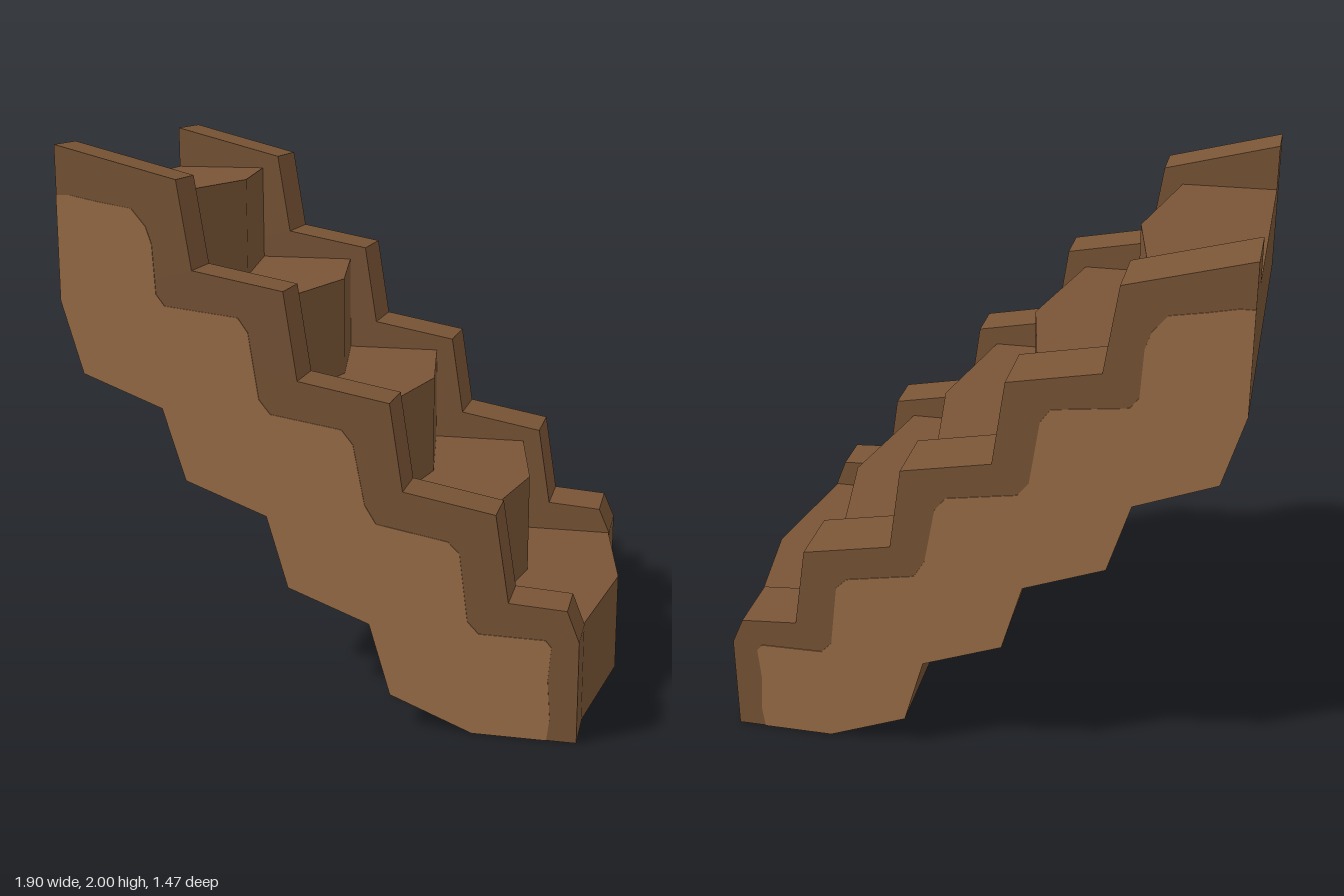
import * as THREE from 'three';

// Underside zigzag shared by walls and core, from the foot up to the top end
const UNDERSIDE = [
  [0.51, 0], [0.22, 0.115], [0.145, 0.37], [-0.145, 0.48], [-0.22, 0.735],
  [-0.51, 0.845], [-0.59, 1.1], [-0.875, 1.21], [-0.95, 1.465],
];
// Lower edge of the worn rim on the outer wall faces
const RAGGED = [
  [-0.95, 1.83], [-0.9, 1.83], [-0.8, 1.81], [-0.68, 1.79], [-0.63, 1.73], [-0.61, 1.67], [-0.6, 1.5], [-0.57, 1.46],
  [-0.31, 1.43], [-0.275, 1.38], [-0.24, 1.15], [-0.2, 1.1], [0.05, 1.06], [0.09, 1.01],
  [0.13, 0.8], [0.17, 0.735], [0.42, 0.69], [0.46, 0.65], [0.49, 0.41], [0.53, 0.368],
  [0.76, 0.365], [0.78, 0.34], [0.77, 0.22], [0.78, 0.08], [0.77, 0],
];
const TREADS = [1.83, 1.465, 1.1, 0.735, 0.365];
const FRONTS = [-0.59, -0.22, 0.145, 0.51, 0.87];
const TIPS = [-0.495, -0.115, 0.235, 0.605, 0.95];
const Z_BACK = -0.49, Z_FRONT = 0.55, Z_OUT = 0.73;

function prism(points, depth) {
  const shape = new THREE.Shape(points.map(([x, y]) => new THREE.Vector2(x, y)));
  return new THREE.ExtrudeGeometry(shape, { depth, bevelEnabled: false });
}

// Stepped wall top; dx and dy make the two walls slightly uneven
function wallProfile(dx, dy) {
  const top = [[-0.95, 2 + dy], [-0.518 + dx, 1.89 + dy]];
  for (let i = 0; i < 3; i++) {
    const x = i * 0.366, y = -i * 0.365;
    top.push([-0.47 + dx + x, 1.585 + y + dy], [-0.15 + dx + x, 1.525 + y + dy]);
  }
  top.push([0.63 + dx, 0.487 + dy * 0.7], [0.83, 0.475 + dy], [0.873, 0.365], [0.873, 0]);
  return [...top, ...UNDERSIDE];
}

export function createModel() {
  const group = new THREE.Group();
  const darkWood = new THREE.MeshStandardMaterial({ color: 0x7a5536 });
  darkWood.name = 'darkBrown';
  const lightWood = new THREE.MeshStandardMaterial({ color: 0x9e7049 });
  lightWood.name = 'lightBrown';

  function add(name, geometry, material, z = 0) {
    const mesh = new THREE.Mesh(geometry, material);
    mesh.name = name;
    mesh.position.z = z;
    group.add(mesh);
  }

  // Side walls
  add('frontWall', prism(wallProfile(0, 0), Z_OUT - Z_FRONT), darkWood, Z_FRONT);
  add('backWall', prism(wallProfile(-0.007, -0.012), Z_OUT + Z_BACK), darkWood, -Z_OUT);

  // Lighter worn faces on the outside of both walls
  const face = [...RAGGED, ...UNDERSIDE];
  add('frontWallFace', prism(face, 0.004), lightWood, Z_OUT - 0.001);
  add('backWallFace', prism(face, 0.004), lightWood, -Z_OUT - 0.003);

  // Stair core between the walls
  const stairs = [[-0.95, TREADS[0]]];
  TREADS.forEach((y, i) => stairs.push([FRONTS[i], y], [FRONTS[i], TREADS[i + 1] ?? 0]));
  add('stairCore', prism([...stairs, ...UNDERSIDE], Z_FRONT - Z_BACK), darkWood, Z_BACK);

  // Pointed nose on the front of each step
  TREADS.forEach((y, i) => {
    const bottom = TREADS[i + 1] ?? 0;
    const nose = prism([[FRONTS[i], -Z_FRONT], [TIPS[i], -0.03], [FRONTS[i], -Z_BACK]], y - bottom);
    nose.rotateX(-Math.PI / 2).translate(0, bottom, 0);
    add('stepNose' + (i + 1), nose, darkWood);
  });

  return group;
}
